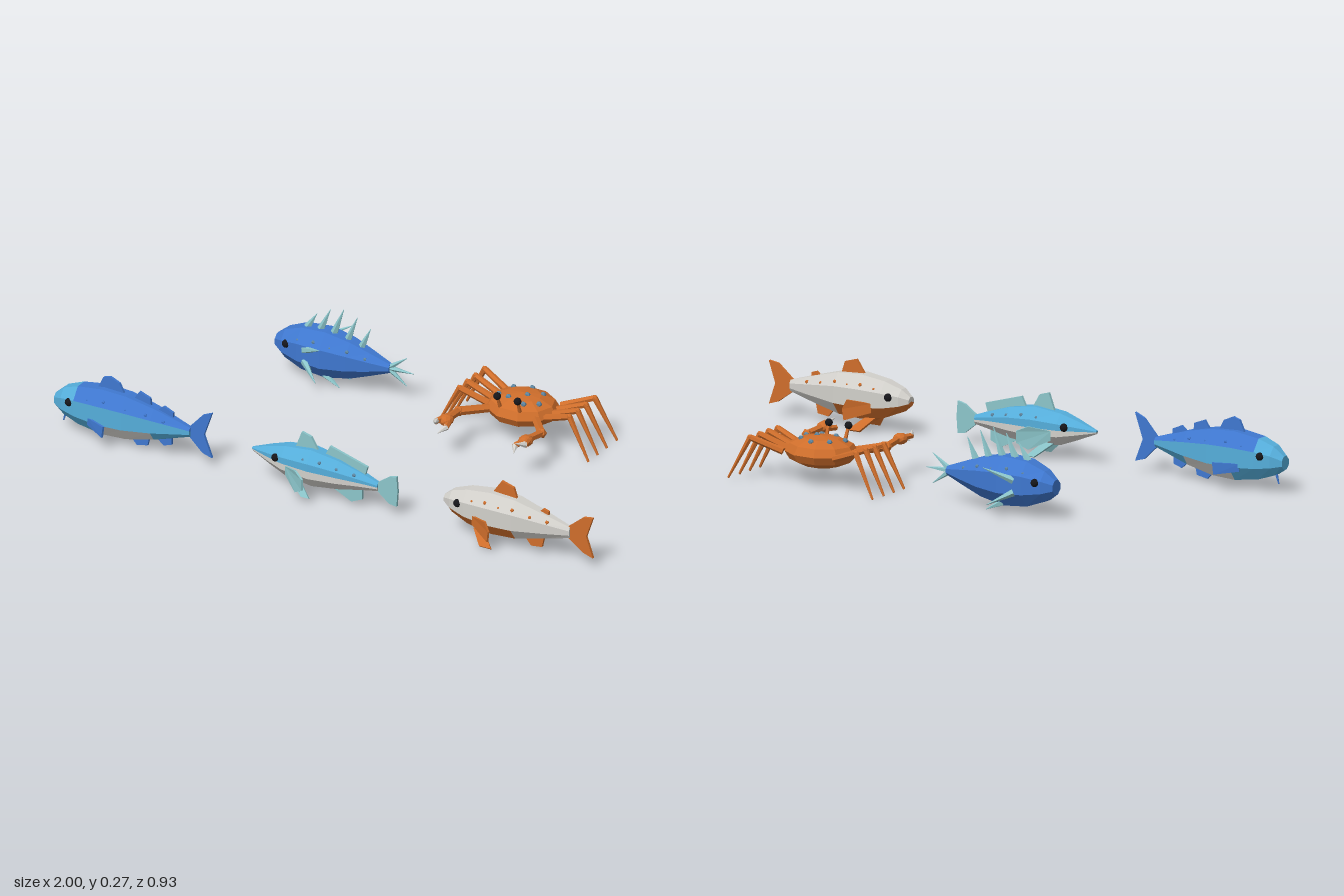
import * as THREE from 'three';

const mat = (name, color) => {
  const m = new THREE.MeshStandardMaterial({ color, flatShading: true });
  m.name = name;
  return m;
};
const M = {
  blue: mat('deep blue', 0x3f78d0),
  sky: mat('sky blue', 0x55aedb),
  white: mat('off white', 0xd2d0cb),
  orange: mat('burnt orange', 0xcf6e2b),
  teal: mat('pale teal', 0x8cc6cb),
  black: mat('black', 0x16161a),
  spot: mat('slate blue', 0x5f86a0),
};
const V = (p) => new THREE.Vector3(...p);

function add(parent, name, geo, material) {
  const m = new THREE.Mesh(geo, material);
  m.name = name;
  parent.add(m);
  return m;
}
function fromTriangles(pos) {
  const g = new THREE.BufferGeometry();
  g.setAttribute('position', new THREE.Float32BufferAttribute(pos, 3));
  g.computeVertexNormals();
  return g;
}

// Thin slab over a planar outline; the fan starts at the first point
function plate(parent, name, pts, material, t = 0.009) {
  const p = pts.map(V);
  const n = p[1].clone().sub(p[0]).cross(p[2].clone().sub(p[0])).setLength(t / 2);
  const a = p.map((q) => q.clone().add(n)), b = p.map((q) => q.clone().sub(n));
  const pos = [], tri = (...v) => v.forEach((q) => pos.push(q.x, q.y, q.z));
  for (let i = 1; i < p.length - 1; i++) {
    tri(a[0], a[i], a[i + 1]);
    tri(b[0], b[i + 1], b[i]);
  }
  for (let i = 0; i < p.length; i++) {
    const j = (i + 1) % p.length;
    tri(a[i], b[i], b[j]);
    tri(a[i], b[j], a[j]);
  }
  return add(parent, name, fromTriangles(pos), material);
}

// Tapered rod between two points
function rod(parent, name, from, to, r0, r1, material, sides = 6) {
  const a = V(from), d = V(to).sub(a);
  const m = add(parent, name, new THREE.CylinderGeometry(r1, r0, d.length(), sides), material);
  m.position.copy(a).addScaledVector(d, 0.5);
  m.quaternion.setFromUnitVectors(new THREE.Vector3(0, 1, 0), d.normalize());
  return m;
}
function ball(parent, name, p, r, material, detail = 0) {
  const m = add(parent, name, new THREE.IcosahedronGeometry(r, detail), material);
  m.position.set(...p);
  return m;
}

// Octagonal body section, with an extra point halfway up each side
const RING = [[1, 0], [1, 0.41], [0.41, 1], [-0.41, 1], [-1, 0.41],
  [-1, 0], [-1, -0.41], [-0.41, -1], [0.41, -1], [1, -0.41]];
const LEVEL = [1, 2, 3, 2, 1, -1, -2, -3, -2, -1];

// Lofted fish body; sections are [x, centreY, halfHeight, halfWidth]
function fishBody(parent, sections, colourOf) {
  const lists = new Map(), n = RING.length;
  const pt = (i, j) => {
    const [x, cy, h, w] = sections[i], [u, v] = RING[j % n];
    return [x, cy + h * v, w * u];
  };
  const put = (material, ...v) => {
    if (!lists.has(material)) lists.set(material, []);
    v.forEach((q) => lists.get(material).push(...q));
  };
  const last = sections.length - 1;
  for (let j = 0; j < n; j++) {
    for (let i = 0; i < last; i++) {
      const a = pt(i, j), b = pt(i, j + 1), c = pt(i + 1, j + 1), d = pt(i + 1, j);
      put(colourOf(LEVEL[j], i), a, d, c, a, c, b);
    }
    const s = sections[0], e = sections[last];
    put(colourOf(LEVEL[j], 0), [s[0], s[1], 0], pt(0, j), pt(0, j + 1));
    put(colourOf(LEVEL[j], last - 1), [e[0], e[1], 0], pt(last, j + 1), pt(last, j));
  }
  for (const [material, pos] of lists) add(parent, 'body ' + material.name, fromTriangles(pos), material);
}

// Point on the body skin at x, for ring position u, v
function skin(sections, x, u, v) {
  let i = 0;
  while (i < sections.length - 2 && sections[i + 1][0] < x) i++;
  const a = sections[i], b = sections[i + 1], t = (x - a[0]) / (b[0] - a[0]);
  const [cy, h, w] = [1, 2, 3].map((k) => a[k] + (b[k] - a[k]) * t);
  return [x, cy + h * v, w * u];
}

function fish(root, o) {
  const g = new THREE.Group();
  g.name = o.name;
  g.position.z = o.z;
  root.add(g);
  fishBody(g, o.sections, o.colourOf);
  // Fins on the centre line
  for (const [name, pts] of o.fins || []) plate(g, name, pts.map(([x, y]) => [x, y, 0]), o.finMat);
  for (const s of [1, -1]) {
    // Paired fins
    for (const [name, pts] of o.pairs || []) plate(g, name, pts.map(([x, y, z]) => [x, y, z * s]), o.finMat, 0.007);
    // Eyes and skin spots
    const e = skin(o.sections, o.eye, 0.92 * s, 0.25);
    ball(g, 'eye', e, 0.014, M.black, 1);
    o.spots.forEach((x, i) => ball(g, 'spot', skin(o.sections, x, 0.78 * s, i % 2 ? 0.6 : 0.52), 0.007, o.spotMat));
  }
  return g;
}

function crab(root) {
  const g = new THREE.Group();
  g.name = 'crab';
  g.position.set(0.32, 0, -0.34);
  root.add(g);
  // Shell
  const shell = add(g, 'shell', new THREE.SphereGeometry(1, 10, 6), M.orange);
  shell.scale.set(0.125, 0.052, 0.107);
  shell.position.y = 0.105;
  for (const [x, z] of [[0, -0.06], [0.055, -0.035], [-0.055, -0.035], [0.075, 0.025], [-0.075, 0.025], [0.02, 0.005], [-0.03, 0.04], [0.035, 0.055]]) {
    const y = 0.105 + 0.05 * Math.sqrt(1 - (x / 0.125) ** 2 - (z / 0.107) ** 2);
    ball(g, 'shell spot', [x, y, z], 0.01, M.spot);
  }
  for (const s of [1, -1]) {
    // Eye stalks
    rod(g, 'eye stalk', [0.036 * s, 0.115, 0.075], [0.038 * s, 0.17, 0.097], 0.007, 0.005, M.orange);
    ball(g, 'eye', [0.038 * s, 0.175, 0.098], 0.013, M.black, 1);
    // Walking legs
    [-0.12, -0.056, 0.002, 0.06].forEach((z) => {
      const hip = [0.1 * s, 0.105, z * 0.6], knee = [0.205 * s, 0.143, z * 0.88], tip = [0.28 * s, 0.004, z];
      rod(g, 'upper leg', hip, knee, 0.012, 0.01, M.orange);
      ball(g, 'knee', knee, 0.011, M.orange);
      rod(g, 'lower leg', knee, tip, 0.01, 0.004, M.orange);
    });
    // Claw arms
    const elbow = [0.155 * s, 0.112, 0.145], wrist = [0.148 * s, 0.12, 0.215];
    rod(g, 'upper arm', [0.085 * s, 0.105, 0.06], elbow, 0.014, 0.015, M.orange);
    ball(g, 'elbow', elbow, 0.018, M.orange);
    rod(g, 'forearm', elbow, wrist, 0.014, 0.013, M.orange);
    const palm = ball(g, 'palm', [0.148 * s, 0.12, 0.232], 0.024, M.orange, 1);
    palm.scale.set(1, 0.8, 1.15);
    // Pincers
    rod(g, 'outer finger', [0.16 * s, 0.125, 0.24], [0.166 * s, 0.125, 0.27], 0.011, 0.01, M.orange);
    rod(g, 'inner finger', [0.136 * s, 0.115, 0.24], [0.128 * s, 0.113, 0.27], 0.011, 0.01, M.orange);
    rod(g, 'upper pincer', [0.166 * s, 0.125, 0.265], [0.15 * s, 0.137, 0.297], 0.011, 0.001, M.white);
    rod(g, 'lower pincer', [0.128 * s, 0.113, 0.265], [0.142 * s, 0.101, 0.297], 0.011, 0.001, M.white);
  }
}

export function createModel() {
  const root = new THREE.Group();
  root.name = 'sea creatures';

  // Large blue fish with three back fins and a chin barbel
  const big = fish(root, {
    name: 'blue fish', z: 0.363, eye: -0.93, finMat: M.blue, spotMat: M.blue,
    spots: [-0.86, -0.8, -0.72, -0.65, -0.59],
    sections: [[-1, 0.103, 0.022, 0.02], [-0.965, 0.107, 0.048, 0.038], [-0.91, 0.108, 0.067, 0.05],
      [-0.82, 0.108, 0.08, 0.058], [-0.73, 0.108, 0.076, 0.054], [-0.63, 0.108, 0.055, 0.04], [-0.5, 0.108, 0.016, 0.013]],
    colourOf: (l, i) => (l >= 2 && i >= 2 ? M.blue : l <= -2 && (i === 3 || i === 4) ? M.white : M.sky),
    fins: [
      ['first dorsal fin', [[-0.85, 0.17], [-0.74, 0.17], [-0.765, 0.215], [-0.8, 0.23], [-0.825, 0.222]]],
      ['second dorsal fin', [[-0.72, 0.16], [-0.645, 0.15], [-0.65, 0.19], [-0.69, 0.205]]],
      ['third dorsal fin', [[-0.635, 0.145], [-0.565, 0.12], [-0.565, 0.16], [-0.6, 0.175]]],
      ['first anal fin', [[-0.73, 0.045], [-0.7, 0.012], [-0.66, 0.02], [-0.65, 0.065]]],
      ['second anal fin', [[-0.63, 0.06], [-0.6, 0.035], [-0.57, 0.045], [-0.57, 0.085]]],
      ['tail fin', [[-0.45, 0.11], [-0.42, 0.195], [-0.455, 0.18], [-0.51, 0.12], [-0.51, 0.097], [-0.455, 0.045], [-0.42, 0.035]]],
    ],
    pairs: [['pectoral fin', [[-0.855, 0.09, 0.05], [-0.855, 0.065, 0.05], [-0.78, 0.053, 0.087], [-0.775, 0.092, 0.087]]]],
  });
  rod(big, 'chin barbel', [-0.965, 0.065, 0], [-0.975, 0.03, 0], 0.005, 0.002, M.blue);

  // Slim light blue fish with a pointed snout
  fish(root, {
    name: 'slim fish', z: 0.363, eye: -0.165, finMat: M.teal, spotMat: M.spot,
    spots: [-0.06, 0.0, 0.06, 0.12],
    sections: [[-0.27, 0.108, 0.006, 0.005], [-0.2, 0.106, 0.032, 0.028], [-0.14, 0.104, 0.052, 0.043],
      [-0.04, 0.103, 0.064, 0.05], [0.06, 0.101, 0.05, 0.04], [0.14, 0.096, 0.03, 0.024], [0.2, 0.09, 0.015, 0.011]],
    colourOf: (l) => (l > 0 ? M.sky : M.white),
    fins: [
      ['first dorsal fin', [[-0.11, 0.15], [-0.02, 0.155], [-0.05, 0.205], [-0.085, 0.215]]],
      ['second dorsal fin', [[0.0, 0.15], [0.15, 0.115], [0.16, 0.15], [0.09, 0.17], [0.02, 0.19]]],
      ['anal fin', [[0.01, 0.055], [0.1, 0.012], [0.14, 0.03], [0.14, 0.075]]],
      ['tail fin', [[0.19, 0.1], [0.19, 0.08], [0.24, 0.04], [0.268, 0.036], [0.272, 0.09], [0.268, 0.142], [0.24, 0.135]]],
    ],
    pairs: [
      ['pectoral fin', [[-0.12, 0.1, 0.044], [-0.12, 0.07, 0.044], [-0.06, 0.04, 0.085], [-0.025, 0.062, 0.103], [-0.025, 0.1, 0.103], [-0.06, 0.116, 0.085]]],
      ['ventral fin', [[-0.12, 0.055, 0.025], [-0.08, 0.055, 0.025], [-0.03, 0.008, 0.05], [-0.06, 0.008, 0.05]]],
    ],
  });

  // Pale fish with orange fins and belly
  fish(root, {
    name: 'pale fish', z: 0.363, eye: 0.515, finMat: M.orange, spotMat: M.orange,
    spots: [0.57, 0.62, 0.67, 0.72, 0.78, 0.84],
    sections: [[0.45, 0.115, 0.015, 0.015], [0.48, 0.115, 0.038, 0.032], [0.54, 0.113, 0.06, 0.046],
      [0.63, 0.112, 0.073, 0.054], [0.72, 0.112, 0.068, 0.05], [0.82, 0.11, 0.044, 0.032], [0.915, 0.108, 0.019, 0.012]],
    colourOf: (l, i) => (l <= -2 && i <= 3 ? M.orange : M.white),
    fins: [
      ['dorsal fin', [[0.62, 0.17], [0.72, 0.17], [0.705, 0.215], [0.66, 0.228]]],
      ['rear dorsal fin', [[0.79, 0.145], [0.835, 0.135], [0.835, 0.162], [0.815, 0.168]]],
      ['anal fin', [[0.74, 0.06], [0.77, 0.025], [0.81, 0.03], [0.82, 0.075]]],
      ['tail fin', [[0.975, 0.108], [1.0, 0.18], [0.965, 0.175], [0.9, 0.122], [0.9, 0.094], [0.965, 0.048], [1.0, 0.037]]],
    ],
    pairs: [
      ['pectoral fin', [[0.575, 0.1, 0.045], [0.575, 0.07, 0.045], [0.655, 0.043, 0.085], [0.66, 0.08, 0.087], [0.645, 0.112, 0.083]]],
      ['ventral fin', [[0.57, 0.048, 0.028], [0.61, 0.045, 0.028], [0.655, 0.006, 0.06], [0.61, 0.006, 0.06]]],
    ],
  });

  // Spiny blue fish
  const spiny = fish(root, {
    name: 'spiny fish', z: -0.353, eye: -0.545, finMat: M.teal, spotMat: M.spot,
    spots: [-0.5, -0.44, -0.38, -0.32, -0.26],
    sections: [[-0.6, 0.108, 0.024, 0.022], [-0.565, 0.109, 0.05, 0.042], [-0.5, 0.11, 0.074, 0.058],
      [-0.41, 0.11, 0.081, 0.065], [-0.32, 0.11, 0.064, 0.052], [-0.25, 0.11, 0.04, 0.034], [-0.18, 0.11, 0.015, 0.014]],
    colourOf: () => M.blue,
  });
  const spine = (name, a, b, r = 0.013) => rod(spiny, name, a, b, r, 0.001, M.teal, 5);
  [[-0.49, 0.18, 0.235], [-0.44, 0.185, 0.262], [-0.39, 0.185, 0.275], [-0.34, 0.17, 0.258], [-0.29, 0.155, 0.23]]
    .forEach(([x, y, top]) => spine('back spine', [x, y, 0], [x + 0.035, top, 0]));
  for (const s of [1, -1]) {
    spine('upper side spine', [-0.47, 0.125, 0.055 * s], [-0.385, 0.165, 0.105 * s]);
    spine('lower side spine', [-0.47, 0.085, 0.055 * s], [-0.4, 0.045, 0.105 * s]);
    spine('belly spine', [-0.41, 0.04, 0.025 * s], [-0.35, 0.01, 0.035 * s]);
    spine('tail spine', [-0.19, 0.11, 0], [-0.12, 0.11 + 0.05 * s, 0], 0.011);
  }
  spine('middle tail spine', [-0.19, 0.11, 0], [-0.095, 0.11, 0], 0.011);

  crab(root);
  return root;
}
